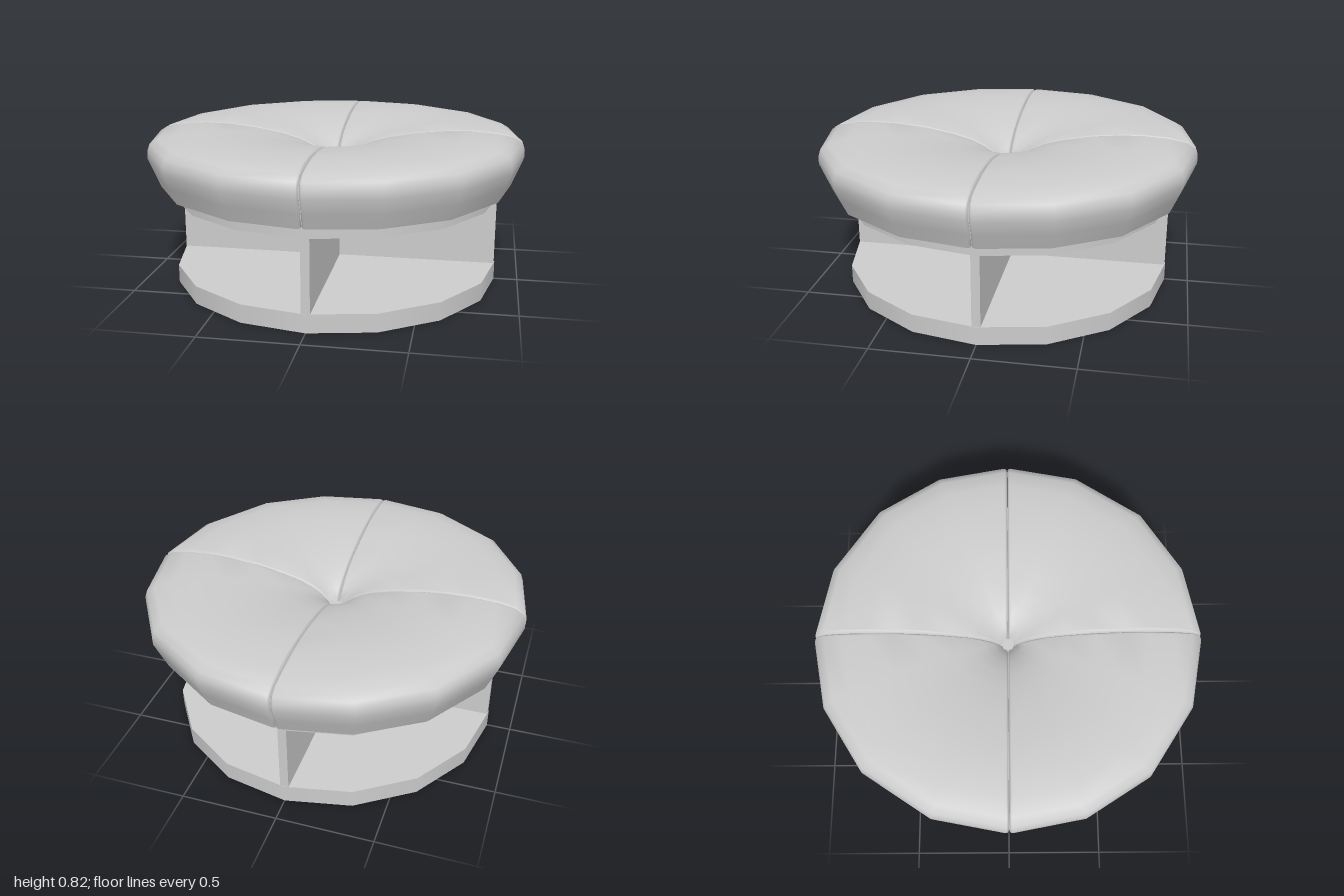
import * as THREE from 'three';
import { toCreasedNormals } from 'three/addons/utils/BufferGeometryUtils.js';

const SIDES = 16;
const BASE_R = 0.874;

// Cushion outline from the underside, around the rim, into the centre dimple
const PROFILE = [
  [0.03, 0.536], [0.937, 0.536], [0.97, 0.615], [1, 0.69], [1, 0.73], [0.987, 0.768], [0.945, 0.794],
  [0.85, 0.812], [0.72, 0.82], [0.6, 0.817], [0.45, 0.803], [0.3, 0.775], [0.2, 0.748],
  [0.13, 0.717], [0.08, 0.684], [0.045, 0.65], [0.03, 0.625],
].map(([r, y]) => new THREE.Vector2(r, y));

// Half a seam: sideways shift from the seam line, sink below the surface
const SEAM = [[0.001, 0.018], [0.003, 0.009], [0.006, 0.004], [0.011, 0.001], [0.018, 0]];

// Columns across a quarter: angle, radius scale, shift, sink
const COLUMNS = [
  ...SEAM.map(([shift, sink]) => [0, 1, shift, sink]),
  [0.39, 1.005, 0, 0], [0.805, 1.01, 0, 0], [1.187, 1.005, 0, 0],
  ...SEAM.map(([shift, sink]) => [Math.PI / 2, 1, -shift, sink]).reverse(),
];

// Inward direction at a profile point
function inward(i) {
  const a = PROFILE[Math.max(i - 1, 0)];
  const b = PROFILE[Math.min(i + 1, PROFILE.length - 1)];
  const t = b.clone().sub(a).normalize();
  return new THREE.Vector2(-t.y, t.x);
}

// One padded quarter with rounded edges that dip into the seams
function quarterGeometry() {
  const positions = [];
  const index = [];
  const rows = PROFILE.length;
  for (const [angle, scale, shift, sink] of COLUMNS) {
    const c = Math.cos(angle);
    const s = Math.sin(angle);
    PROFILE.forEach((p, i) => {
      const n = inward(i);
      const limit = p.x * 0.25;
      const side = THREE.MathUtils.clamp(shift, -limit, limit);
      const depth = Math.min(sink, p.x * 0.4);
      const r = p.x * scale + n.x * depth;
      positions.push(c * r - s * side, p.y + n.y * depth, s * r + c * side);
    });
  }
  for (let j = 0; j < COLUMNS.length - 1; j++) {
    for (let i = 0; i < rows - 1; i++) {
      const a = j * rows + i;
      const b = a + rows;
      index.push(a, a + 1, b, b, a + 1, b + 1);
    }
  }
  const geometry = new THREE.BufferGeometry();
  geometry.setAttribute('position', new THREE.Float32BufferAttribute(positions, 3));
  geometry.setIndex(index);
  return toCreasedNormals(geometry, 1.0);
}

export function createModel() {
  const model = new THREE.Group();
  model.name = 'ottoman';
  const material = new THREE.MeshStandardMaterial({ color: 0xcccccc });
  const cushionMaterial = new THREE.MeshStandardMaterial({ color: 0xcccccc, side: THREE.DoubleSide });

  const add = (name, geometry, y, parent = model, mat = material) => {
    const mesh = new THREE.Mesh(geometry, mat);
    mesh.name = name;
    mesh.position.y = y;
    parent.add(mesh);
    return mesh;
  };

  // Bottom and top plates of the shelf base
  add('bottomPlate', new THREE.CylinderGeometry(BASE_R, BASE_R, 0.096, SIDES), 0.048);
  add('topPlate', new THREE.CylinderGeometry(BASE_R, BASE_R, 0.068, SIDES), 0.504);

  // Crossed dividers forming four open compartments
  const span = 2 * (BASE_R - 0.004);
  add('dividerAcross', new THREE.BoxGeometry(span, 0.374, 0.044), 0.283);
  add('dividerDeep', new THREE.BoxGeometry(0.044, 0.374, span), 0.283);

  // Four cushion quarters around the dimple
  const cushion = new THREE.Group();
  cushion.name = 'cushion';
  const quarter = quarterGeometry();
  for (let k = 0; k < 4; k++) {
    add('cushionQuarter', quarter, 0, cushion, cushionMaterial).rotation.y = k * Math.PI / 2;
  }
  // Small button closing the dimple
  add('centreButton', new THREE.CylinderGeometry(0.033, 0.033, 0.09, 8), 0.585, cushion);
  model.add(cushion);
  return model;
}
